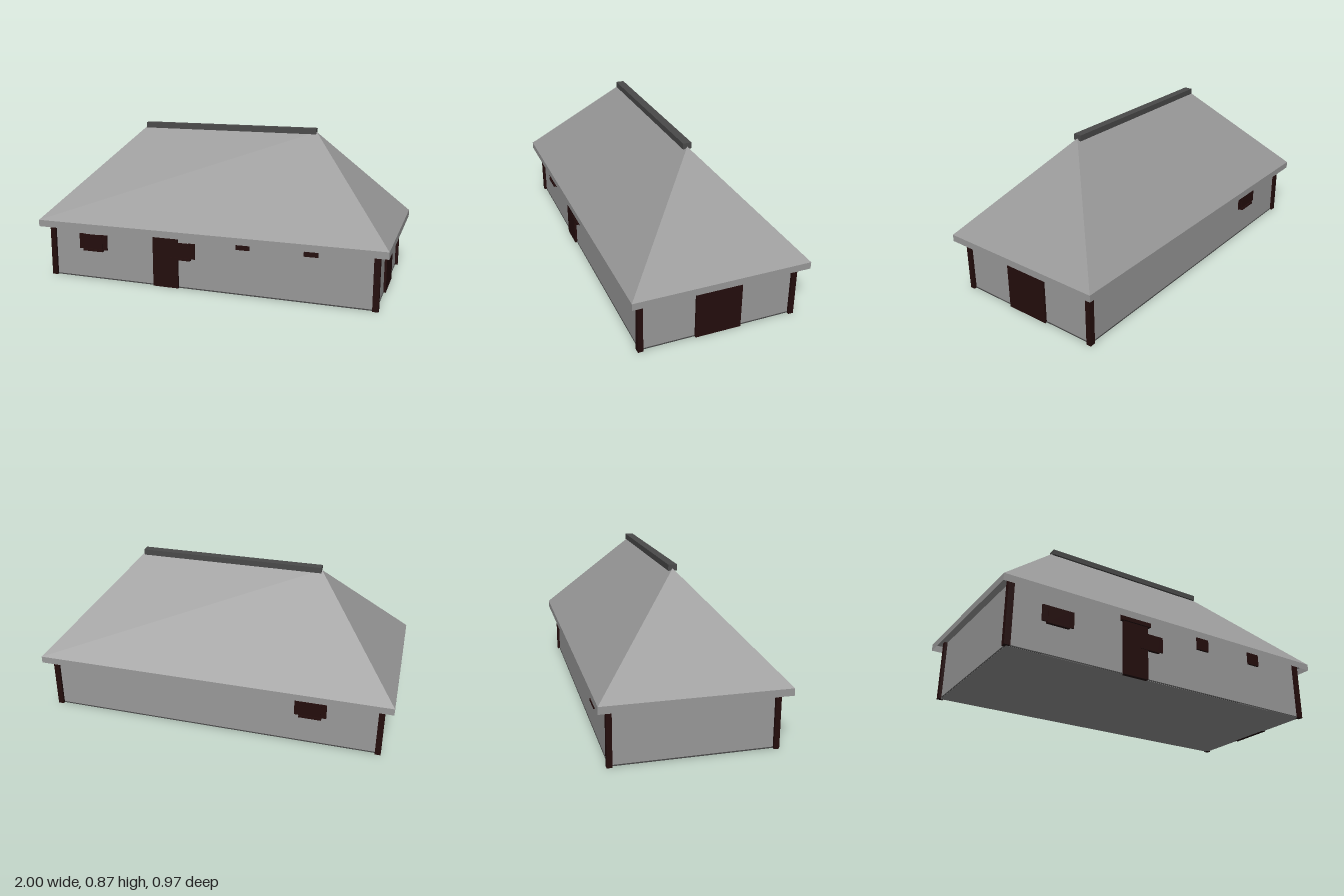
import * as THREE from 'three';

const mat = (name, color, side = THREE.FrontSide) => {
  const m = new THREE.MeshStandardMaterial({ color, side });
  m.name = name;
  return m;
};

export function createModel() {
  const house = new THREE.Group();
  house.name = 'house';
  const grey = mat('stone grey', 0x999999);
  const roofGrey = mat('roof grey', 0x999999, THREE.DoubleSide);
  const dark = mat('dark grey', 0x4a4a4a);
  const wood = mat('dark wood', 0x240d0c);

  // Box given by its lower and upper bounds on each axis
  const box = (parent, name, material, [x0, x1], [y0, y1], [z0, z1]) => {
    const mesh = new THREE.Mesh(new THREE.BoxGeometry(x1 - x0, y1 - y0, z1 - z0), material);
    mesh.position.set((x0 + x1) / 2, (y0 + y1) / 2, (z0 + z1) / 2);
    mesh.name = name;
    parent.add(mesh);
    return mesh;
  };

  // Walls and thin plinth
  const WX = 0.938, WZ = 0.424, EAVE = 0.297, TOP = 0.335;
  box(house, 'walls', grey, [-WX, WX], [0, TOP], [-WZ, WZ]);
  box(house, 'plinth', dark, [-WX - 0.002, WX + 0.002], [0.001, 0.007], [-WZ - 0.002, WZ + 0.002]);

  // Corner posts
  for (const sx of [-1, 1]) for (const sz of [-1, 1]) {
    const x = sx * WX, z = sz * WZ;
    box(house, 'cornerPost', wood, [x - 0.016, x + 0.016], [0, TOP], [z - 0.014, z + 0.014]);
  }

  // Hipped roof shell: open eave band, then slopes rising to a ridge line
  const RX = 1, RZ = 0.483, APEX = 0.852, RIDGE = 0.517;
  const ring = (x, y, z) => [[-x, y, z], [x, y, z], [x, y, -z], [-x, y, -z]];
  const levels = [ring(RX, EAVE, RZ), ring(RX, TOP, RZ), ring(RIDGE, APEX, 0)];
  const points = [];
  for (let l = 0; l < 2; l++) for (let i = 0; i < 4; i++) {
    const j = (i + 1) % 4;
    const [a, b, c, d] = [levels[l][i], levels[l][j], levels[l + 1][j], levels[l + 1][i]];
    points.push(...a, ...b, ...c);
    if (l === 0 || i % 2 === 0) points.push(...a, ...c, ...d); // hip ends are triangles
  }
  const roofGeometry = new THREE.BufferGeometry();
  roofGeometry.setAttribute('position', new THREE.Float32BufferAttribute(points, 3));
  roofGeometry.computeVertexNormals();
  const roof = new THREE.Mesh(roofGeometry, roofGrey);
  roof.name = 'roof';
  house.add(roof);
  box(house, 'ridgeCap', dark, [-RIDGE, RIDGE], [0.84, 0.872], [-0.023, 0.023]);

  // Opening groups face +z from the wall plane, then are turned onto a wall
  const opening = (name, x, z, turn) => {
    const g = new THREE.Group();
    g.name = name;
    g.position.set(x, 0, z);
    g.rotation.y = turn;
    house.add(g);
    return g;
  };

  // Doors with a wider lintel tucked under the eaves
  const door = (name, half, x, z, turn) => {
    const g = opening(name, x, z, turn);
    box(g, 'doorPanel', wood, [-half, half], [0, EAVE], [-0.01, 0.013]);
    box(g, 'doorLintel', wood, [-half * 1.2, half * 1.2], [EAVE, 0.33], [-0.01, 0.022]);
  };
  door('frontDoor', 0.075, -0.225, WZ, 0);
  door('sideDoor', 0.127, WX, 0, Math.PI / 2);

  // Shuttered windows with a sill
  const shutteredWindow = (name, x, z, turn) => {
    const g = opening(name, x, z, turn);
    box(g, 'windowFrame', wood, [-0.058, 0.058], [0.17, 0.26], [-0.01, 0.011]);
    box(g, 'windowSill', wood, [-0.062, 0.062], [0.165, 0.178], [-0.01, 0.017]);
    for (const s of [-1, 1]) {
      const shutter = box(g, 'shutter', wood, [-0.0195, 0.0195], [0.175, 0.262], [-0.005, 0.008]);
      shutter.position.x = s * 0.0685;
    }
  };
  shutteredWindow('frontWindow', -0.678, WZ, 0);
  shutteredWindow('frontWindow', -0.138, WZ, 0);
  shutteredWindow('backWindow', -0.56, -WZ, Math.PI);

  // Small high windows under the front eave
  for (const x of [0.225, 0.598]) {
    const g = opening('highWindow', x, WZ, 0);
    box(g, 'highWindowFrame', wood, [-0.038, 0.038], [0.256, 0.33], [-0.01, 0.012]);
  }
  return house;
}
